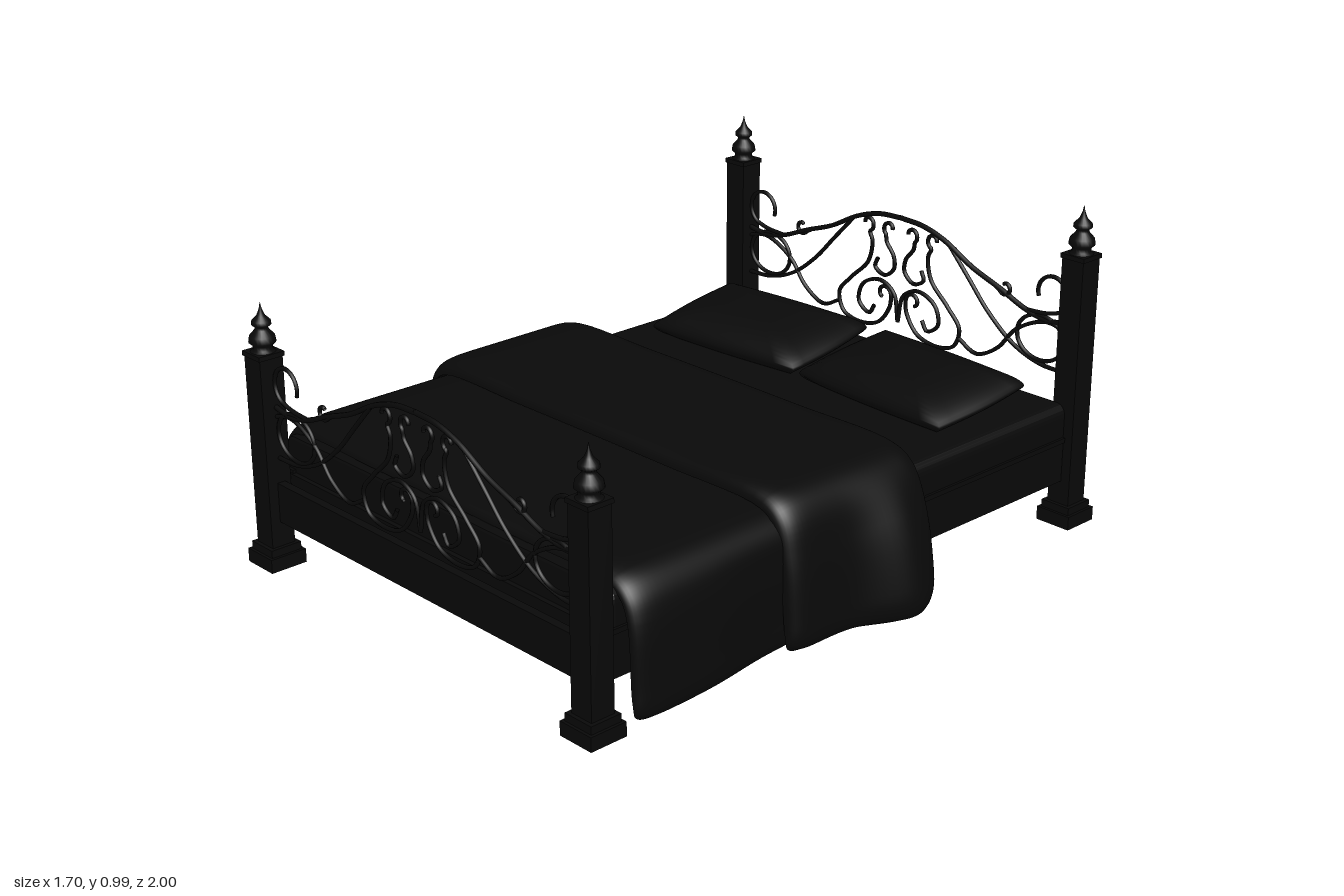
import * as THREE from 'three';

const mat = new THREE.MeshStandardMaterial({ color: 0x090909, side: THREE.DoubleSide });
const CX = -0.03; // bed centre line; the covers hang unevenly to either side

function add(parent, name, geo, x = 0, y = 0, z = 0) {
  const m = new THREE.Mesh(geo, mat);
  m.name = name;
  m.position.set(x, y, z);
  parent.add(m);
  return m;
}

function box(parent, name, w, y0, y1, d, x = 0, z = 0) {
  return add(parent, name, new THREE.BoxGeometry(w, y1 - y0, d), x, (y0 + y1) / 2, z);
}

// Square post with stepped foot, collar and turned finial
function post(name, top) {
  const g = new THREE.Group();
  g.name = name;
  box(g, 'postFoot', 0.118, 0, 0.042, 0.118);
  box(g, 'postFootStep', 0.1, 0.042, 0.065, 0.1);
  box(g, 'postShaft', 0.076, 0.065, top, 0.076);
  box(g, 'postCollar', 0.084, top - 0.014, top, 0.084);
  const profile = [[0.036, 0], [0.028, 0.006], [0.028, 0.018], [0.039, 0.028], [0.036, 0.046],
    [0.02, 0.064], [0.018, 0.071], [0.028, 0.079], [0.027, 0.09], [0.013, 0.104],
    [0.009, 0.112], [0.004, 0.125], [0, 0.145]].map(p => new THREE.Vector2(...p));
  add(g, 'finial', new THREE.LatheGeometry(profile, 20), 0, top, 0);
  return g;
}

// Arc or spiral points: centre, start and end radius, start angle, sweep
function curl(cx, cy, r0, r1, a0, sweep, n = 12) {
  return Array.from({ length: n + 1 }, (_, i) => {
    const t = i / n, r = r0 + (r1 - r0) * t, a = a0 + sweep * t;
    return [cx + r * Math.cos(a), cy + r * Math.sin(a)];
  });
}

// Wrought iron scrollwork, drawn for one half and mirrored
function scrollPanel(name) {
  const g = new THREE.Group();
  g.name = name;
  const P = Math.PI;
  const bars = {
    archRail: [[-0.66, 0.615], [-0.58, 0.605], [-0.5, 0.62], [-0.4, 0.66], [-0.29, 0.7],
      [-0.18, 0.757], [-0.09, 0.784], [0, 0.79]],
    railCurl: [[-0.33, 0.685], [-0.38, 0.665], ...curl(-0.42, 0.667, 0.024, 0.012, -0.6, -1.5 * P)],
    postScroll: [...curl(-0.595, 0.69, 0.052, 0.058, -0.3, 1.55 * P), [-0.57, 0.625], [-0.5, 0.62]],
    endRing: curl(-0.56, 0.545, 0.07, 0.07, 0, 2 * P, 20).map(([x, y]) => [-0.56 + (x + 0.56) * 1.25, y]),
    sweepBar: [[-0.66, 0.46], [-0.56, 0.465], [-0.46, 0.5], [-0.36, 0.575], [-0.28, 0.66], [-0.2, 0.745]],
    lowerSweep: [[-0.66, 0.585], [-0.58, 0.6], [-0.47, 0.55], [-0.4, 0.47], [-0.32, 0.43], [-0.25, 0.46]],
    outerScroll: [...curl(-0.135, 0.745, 0.012, 0.027, P, -1.4 * P), [-0.115, 0.69], [-0.13, 0.62],
      [-0.2, 0.55], [-0.25, 0.49], [-0.23, 0.43], [-0.16, 0.41], [-0.08, 0.43], [-0.035, 0.49],
      ...curl(-0.06, 0.53, 0.03, 0.014, -0.2, 1.4 * P)],
    innerScroll: [...curl(-0.045, 0.745, 0.012, 0.026, 0, 1.3 * P), [-0.055, 0.7], [-0.025, 0.66],
      [-0.022, 0.62], [-0.06, 0.59], [-0.1, 0.61], [-0.09, 0.64]],
    heartBar: [[0, 0.45], [-0.02, 0.54], [-0.08, 0.57], [-0.15, 0.54], [-0.165, 0.48], [-0.12, 0.45], [-0.1, 0.48]],
  };
  for (const s of [1, -1]) {
    for (const [bar, pts] of Object.entries(bars)) {
      const path = new THREE.CatmullRomCurve3(pts.map(([x, y]) => new THREE.Vector3(s * x, y, 0)));
      add(g, bar, new THREE.TubeGeometry(path, pts.length * 5, bar === 'archRail' ? 0.008 : 0.0065, 6));
    }
  }
  return g;
}

// Padded cover draped over the bed. Keys: [z, left reach, left hem, right reach, right hem]
function cover(keys, top, thick) {
  const NU = 72, NV = 40, pos = [], idx = [];
  const lines = [1, 2, 3, 4].map(k => new THREE.CatmullRomCurve3(
    keys.map(q => new THREE.Vector3(q[0], q[k], 0))));
  const fade = (t, k) => Math.sqrt(Math.max(0, 1 - Math.abs(2 * t - 1) ** k));
  for (let j = 0; j <= NV; j++) {
    const v = (1 - Math.cos(Math.PI * j / NV)) / 2;
    const [xl, hl, xr, hr] = lines.map(c => c.getPoint(v).y);
    const z = lines[0].getPoint(v).x;
    const lift = 0.035 * (1 - fade(v, 14)); // rounded hem corners
    const side = (x, hem, edge) => [[x, hem + lift], [x * 0.99, hem + 0.08],
      [edge + (x - edge) * 0.6, 0.29], [edge + (x - edge) * 0.12, top - 0.03]];
    const pts = [...side(xl, hl, CX - 0.7), [CX - 0.66, top], [CX - 0.3, top + 0.006],
      [CX + 0.3, top + 0.006], [CX + 0.66, top], ...side(xr, hr, CX + 0.7).reverse()];
    const path = new THREE.CatmullRomCurve3(pts.map(p => new THREE.Vector3(p[0], p[1], 0)), false, 'centripetal');
    const outer = [], inner = [];
    for (let i = 0; i <= NU; i++) {
      const u = i / NU, p = path.getPoint(u), t = path.getTangent(u);
      const d = thick * fade(v, 10) * fade(u, 16);
      outer.push([p.x - t.y * d, p.y + t.x * d, z]);
      inner.push([p.x, p.y, z]);
    }
    for (const p of [...outer, ...inner.reverse()]) pos.push(...p);
  }
  const W = 2 * (NU + 1);
  for (let j = 0; j < NV; j++) {
    for (let i = 0; i < W; i++) {
      const a = j * W + i, b = j * W + (i + 1) % W;
      idx.push(a, a + W, b, b, a + W, b + W);
    }
  }
  const g = new THREE.BufferGeometry();
  g.setAttribute('position', new THREE.Float32BufferAttribute(pos, 3));
  g.setIndex(idx);
  g.computeVertexNormals();
  return g;
}

// Pillow: a sphere squared off in plan and pinched towards its seam
function pillow(w, h, d) {
  const g = new THREE.SphereGeometry(1, 40, 24), p = g.attributes.position;
  for (let i = 0; i < p.count; i++) {
    const x = p.getX(i), y = p.getY(i), z = p.getZ(i);
    const r = Math.hypot(x, z) || 1;
    const k = 1 / Math.max(Math.abs(x), Math.abs(z), 1e-6) * r;
    const q = Math.min(k, 1.42) ** 0.9;
    p.setXYZ(i, x * q * w, Math.sign(y) * Math.abs(y) ** 1.25 * h, z * q * d);
  }
  g.computeVertexNormals();
  return g;
}

export function createModel() {
  const bed = new THREE.Group();
  bed.name = 'bed';

  // Four posts, the rear pair taller
  for (const s of [1, -1]) {
    for (const [name, top, z] of [['headPost', 0.84, -0.942], ['footPost', 0.65, 0.942]]) {
      const p = post(name, top);
      p.position.set(CX + s * 0.69, 0, z);
      bed.add(p);
    }
  }

  // Frame rails, base board and foot rail
  for (const s of [1, -1]) {
    box(bed, 'sideRail', 0.04, 0.14, 0.28, 1.79, CX + s * 0.68, -0.005);
    box(bed, 'sideRailTrim', 0.01, 0.265, 0.28, 1.79, CX + s * 0.7, -0.005);
    box(bed, 'endRail', 1.36, 0.14, 0.27, 0.04, CX, s * 0.88 - 0.005);
  }
  box(bed, 'baseBoard', 1.34, 0.155, 0.18, 1.75, CX, 0);
  box(bed, 'footRail', 1.31, 0.14, 0.26, 0.026, CX, 0.936);

  // Mattress with softened edges
  const w = 0.69, r = 0.03, sh = new THREE.Shape();
  sh.moveTo(-w, 0.18);
  sh.lineTo(w, 0.18);
  sh.lineTo(w, 0.375 - r);
  sh.quadraticCurveTo(w, 0.375, w - r, 0.375);
  sh.lineTo(-w + r, 0.375);
  sh.quadraticCurveTo(-w, 0.375, -w, 0.375 - r);
  const mattress = new THREE.ExtrudeGeometry(sh, {
    depth: 1.77, bevelSize: 0.01, bevelThickness: 0.01, bevelOffset: -0.003, bevelSegments: 2, curveSegments: 6 });
  add(bed, 'mattress', mattress, CX, 0, -0.9);

  // Scrollwork at both ends
  const head = scrollPanel('headScrollwork'), foot = scrollPanel('footScrollwork');
  head.position.set(CX, 0, -0.943);
  foot.position.set(CX, -0.125, 0.936);
  bed.add(head, foot);

  // Long cover, and the thicker folded one over it
  add(bed, 'lowerCover', cover([[0.2, -0.76, 0.12, 0.69, 0.035], [0.4, -0.765, 0.12, 0.695, 0.03],
    [0.6, -0.795, 0.115, 0.715, 0.025], [0.86, -0.795, 0.11, 0.72, 0.02]], 0.382, 0.036), 0, 0, 0);
  add(bed, 'upperCover', cover([[-0.2, -0.81, 0.13, 0.76, 0.05], [-0.07, -0.8, 0.125, 0.815, 0.035],
    [0.12, -0.785, 0.12, 0.745, 0.035], [0.335, -0.785, 0.12, 0.735, 0.03]], 0.425, 0.045), 0, 0, 0);

  // Two pillows leaning a little towards the headboard
  for (const [x, turn] of [[-0.335, 0.07], [0.295, -0.05]]) {
    const p = add(bed, 'pillow', pillow(0.3, 0.075, 0.185), x, 0.43, -0.635);
    p.rotation.set(0.12, turn, 0, 'YXZ');
  }
  return bed;
}
